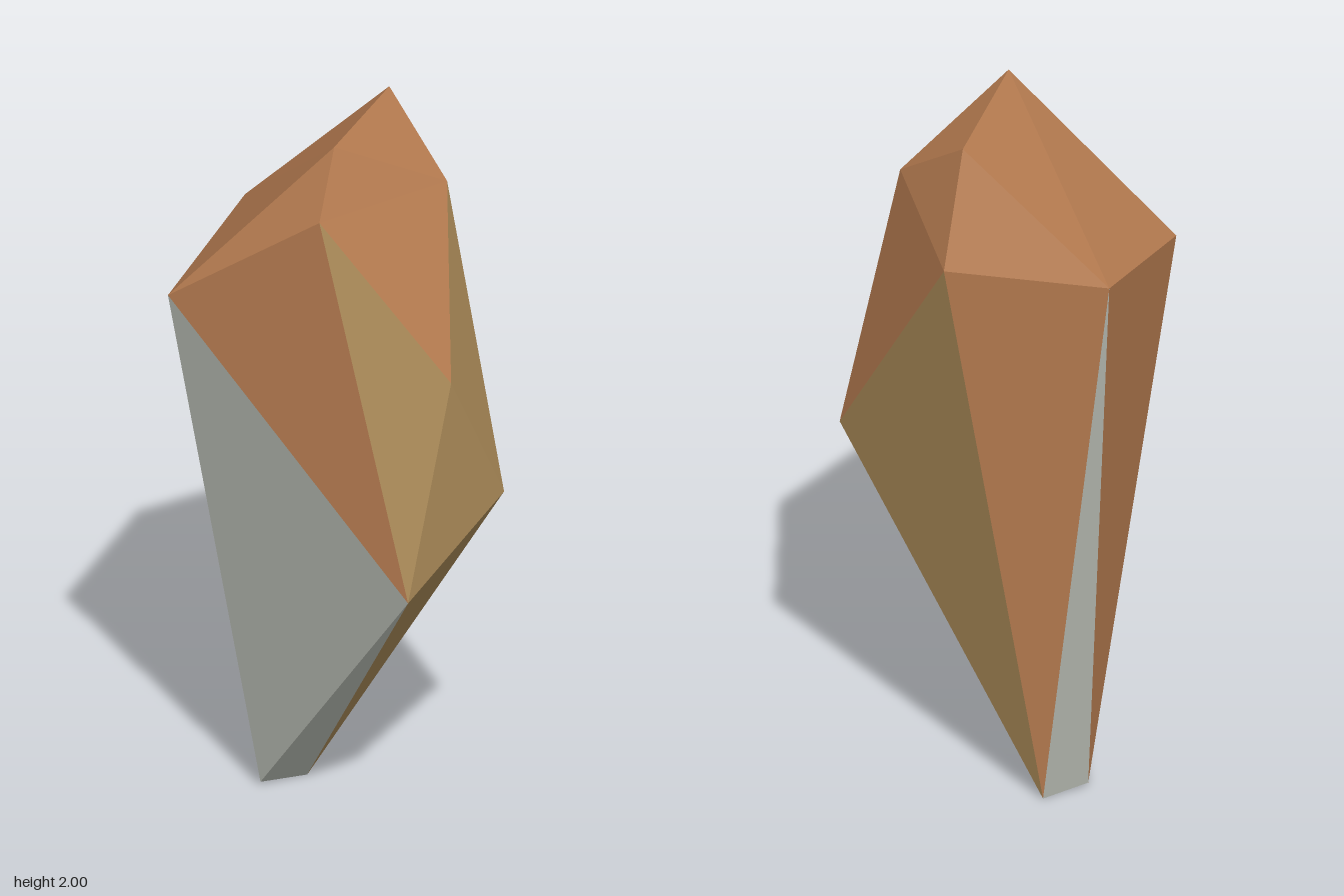
import * as THREE from 'three';

// Corner points of the faceted crystal
const P = {
  A: [-0.105, 2.0, 0.105], B: [0.265, 1.98, -0.075],   // crown ridge
  C: [0.23, 1.81, 0.18], D: [-0.23, 1.85, 0.18],       // front shoulders
  E: [0.37, 1.67, -0.105], F: [0.065, 1.61, -0.41], G: [-0.37, 1.53, -0.245], // sides and back
  H: [0.025, 1.375, 0.41], I: [0.23, 0.98, 0.395], J: [-0.13, 0.785, 0.41],   // front bulge
  K: [-0.07, 0.01, -0.21], L: [0.06, 0, -0.17],        // foot
};

function material(name, color) {
  const m = new THREE.MeshStandardMaterial({ color, flatShading: true });
  m.name = name;
  return m;
}

// Flat triangles, each wound so that it faces away from the core
function facets(name, faces, mat) {
  const core = new THREE.Vector3(0, 1.2, 0);
  const pos = [];
  for (const f of faces.split(' ')) {
    let [a, b, c] = [...f].map((k) => new THREE.Vector3(...P[k]));
    const n = b.clone().sub(a).cross(c.clone().sub(a));
    if (n.dot(a.clone().sub(core)) < 0) [b, c] = [c, b];
    for (const v of [a, b, c]) pos.push(v.x, v.y, v.z);
  }
  const g = new THREE.BufferGeometry();
  g.setAttribute('position', new THREE.Float32BufferAttribute(pos, 3));
  g.computeVertexNormals();
  const mesh = new THREE.Mesh(g, mat);
  mesh.name = name;
  return mesh;
}

export function createModel() {
  const copper = material('copper brown', 0xb87d51);
  const ochre = material('ochre', 0xae8d5a);
  const grey = material('pale grey', 0xb8bcb3);

  const crystal = new THREE.Group();
  crystal.name = 'crystal';
  crystal.add(
    facets('crownFacets', 'ABF AFG AGD ADC DHC ABC BCE BEF', copper),
    facets('sideFacets', 'CEI EFL FGK DGJ', copper),
    facets('frontFacets', 'DHJ HIJ CHI IJL EIL', ochre),
    facets('footFacets', 'GJK JKL FKL', grey),
  );
  return crystal;
}
